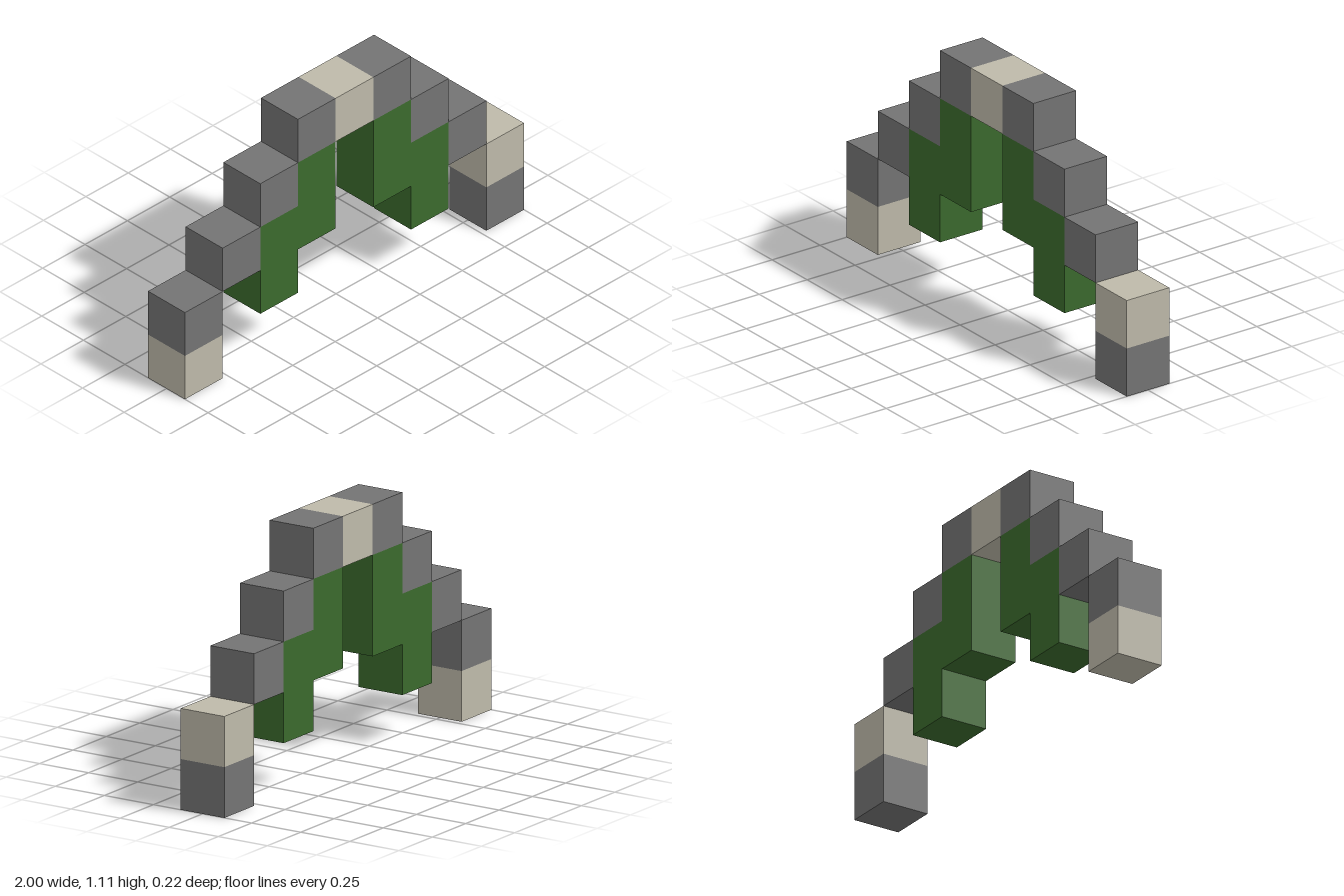
import * as THREE from 'three';

const U = 2 / 9; // edge of one block

export function createModel() {
  const model = new THREE.Group();
  model.name = 'blockArch';

  const material = (name, color) => {
    const m = new THREE.MeshStandardMaterial({ color });
    m.name = name;
    return m;
  };
  const stone = material('grey stone', 0x747474);
  const pale = material('pale stone', 0xbebaaa);
  const leaf = material('leaf green', 0x3b6a2d);

  // One block (or a stack of blocks) at a grid column and row
  const block = (name, mat, column, row, height = 1) => {
    const mesh = new THREE.Mesh(new THREE.BoxGeometry(U, U * height, U), mat);
    mesh.name = name;
    mesh.position.set(column * U, (row + height / 2) * U, 0);
    model.add(mesh);
  };

  block('keystone', pale, 0, 4);

  for (const side of [-1, 1]) {
    const label = side > 0 ? 'left' : 'right';

    // Foot pillars: the two stones swap order between the sides
    block(label + 'PillarBase', side > 0 ? stone : pale, side * 4, 0);
    block(label + 'PillarTop', side > 0 ? pale : stone, side * 4, 1);

    // Stepped arch stones climbing to the keystone
    for (let step = 1; step <= 3; step++) {
      block(label + 'ArchStone' + step, stone, side * step, 5 - step);
    }

    // Leaves hanging under the two upper steps
    block(label + 'InnerLeaves', leaf, side, 2, 2);
    block(label + 'OuterLeaves', leaf, side * 2, 1, 2);
  }

  return model;
}
